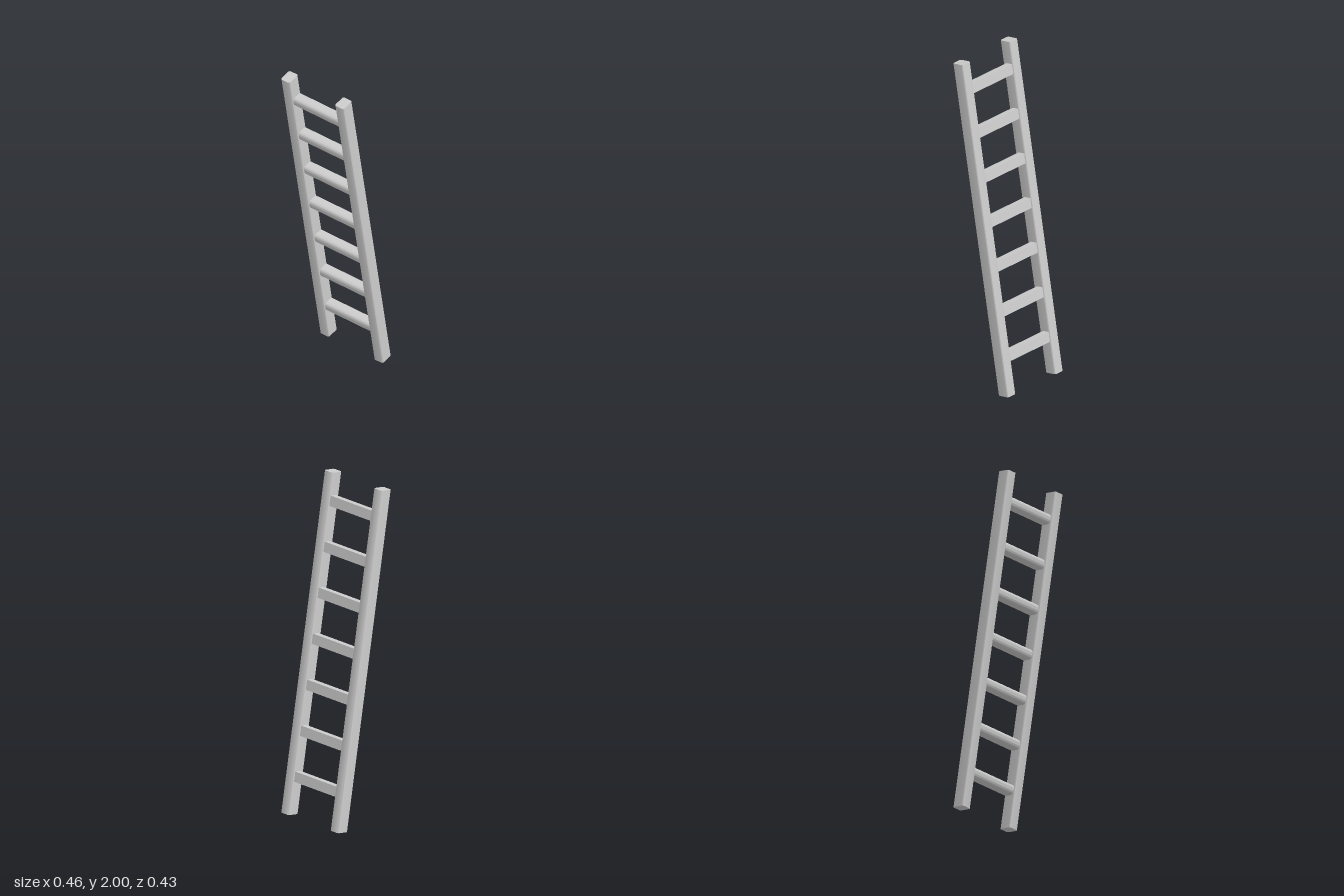
import * as THREE from 'three';
import { toCreasedNormals } from 'three/addons/utils/BufferGeometryUtils.js';

const TILT = THREE.MathUtils.degToRad(10);

// Rectangle w x h with radius a on its left corners and b on its right corners
function roundedRect(w, h, a, b) {
  const x = w / 2, y = h / 2, s = new THREE.Shape();
  s.moveTo(-x + a, -y);
  s.lineTo(x - b, -y);
  if (b) s.absarc(x - b, -y + b, b, -Math.PI / 2, 0);
  s.lineTo(x, y - b);
  if (b) s.absarc(x - b, y - b, b, 0, Math.PI / 2);
  s.lineTo(-x + a, y);
  if (a) s.absarc(-x + a, y - a, a, Math.PI / 2, Math.PI);
  s.lineTo(-x, -y + a);
  if (a) s.absarc(-x + a, -y + a, a, Math.PI, Math.PI * 1.5);
  return s;
}

// Centred bar along z with smooth rounded edges and sharp ends
function bar(shape, length) {
  const g = new THREE.ExtrudeGeometry(shape, { depth: length, bevelEnabled: false, curveSegments: 6 });
  g.translate(0, 0, -length / 2);
  return toCreasedNormals(g, 0.7);
}

export function createModel() {
  const model = new THREE.Group();
  model.name = 'ladder';
  const grey = new THREE.MeshStandardMaterial({ color: 0xcccccc });
  grey.name = 'light grey';

  const frame = new THREE.Group();
  frame.name = 'leaningFrame';
  frame.position.y = 1;
  frame.rotation.x = TILT;
  model.add(frame);

  // Side rails
  const railGeometry = bar(roundedRect(0.065, 0.08, 0.012, 0.012), 2.017).rotateX(-Math.PI / 2);
  for (const side of [-1, 1]) {
    const rail = new THREE.Mesh(railGeometry, grey);
    rail.name = side > 0 ? 'leftRail' : 'rightRail';
    rail.position.x = side * 0.1975;
    frame.add(rail);
  }

  // Rungs: flat back, rounded front edges
  const rungGeometry = bar(roundedRect(0.06, 0.06, 0, 0.022), 0.35).rotateY(-Math.PI / 2);
  for (let i = 0; i < 7; i++) {
    const rung = new THREE.Mesh(rungGeometry, grey);
    rung.name = `rung${i + 1}`;
    rung.position.y = -0.782 + i * 0.271;
    frame.add(rung);
  }
  return model;
}
